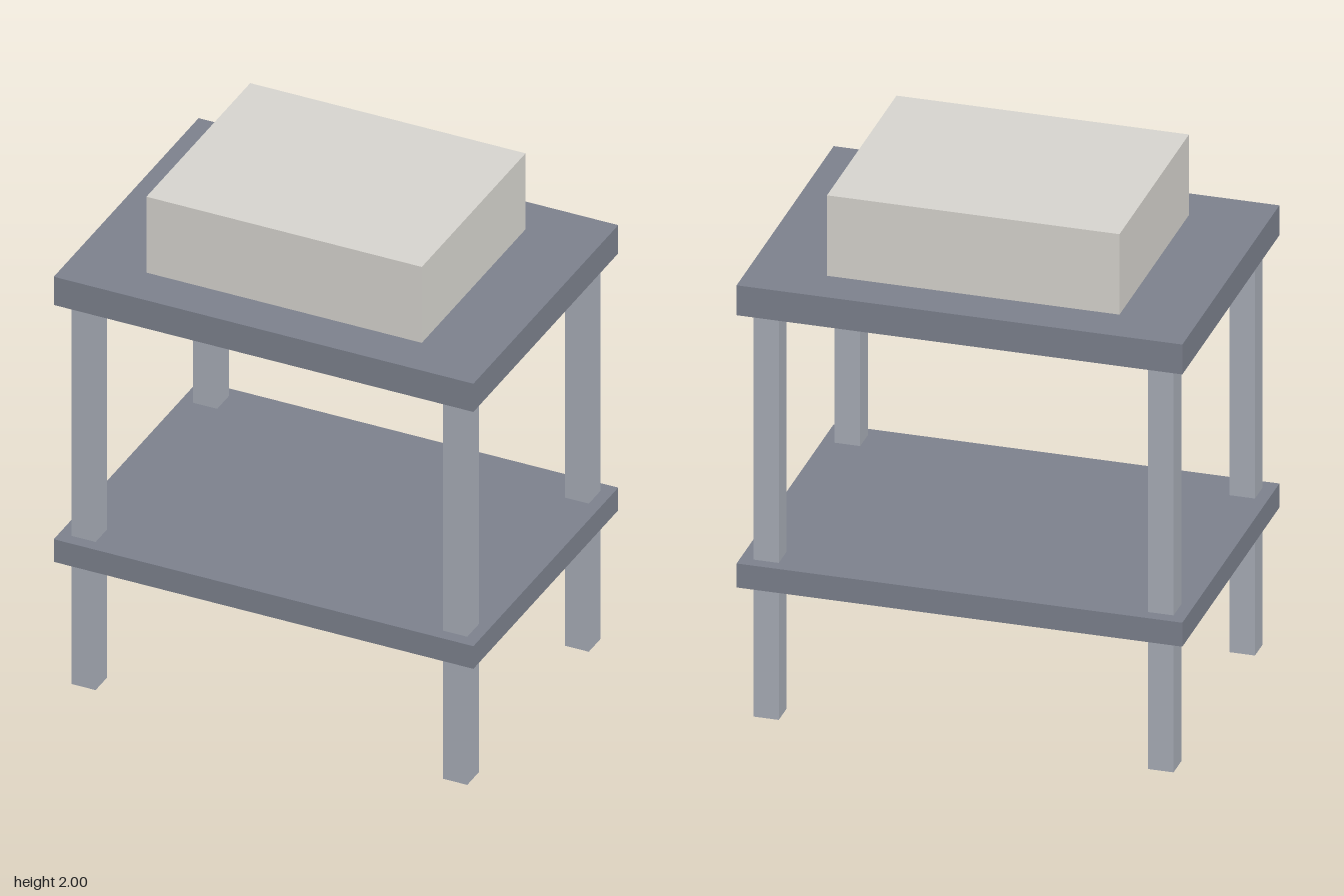
import * as THREE from 'three';

const boardMat = new THREE.MeshStandardMaterial({ color: 0x7d828e });
const legMat = new THREE.MeshStandardMaterial({ color: 0xa9aeb8 });
const boxMat = new THREE.MeshStandardMaterial({ color: 0xd8d6d0 });

// Box spanning y0..y1, centred on (x, z)
function block(name, mat, width, depth, y0, y1, x = 0, z = 0) {
  const mesh = new THREE.Mesh(new THREE.BoxGeometry(width, y1 - y0, depth), mat);
  mesh.name = name;
  mesh.position.set(x, (y0 + y1) / 2, z);
  return mesh;
}

export function createModel() {
  const group = new THREE.Group();
  group.name = 'sideTable';

  // Table top and lower shelf
  group.add(block('tableTop', boardMat, 1.626, 1.163, 1.572, 1.688));
  group.add(block('lowerShelf', boardMat, 1.626, 1.163, 0.516, 0.609));

  // Four square legs running through the shelf
  for (const [sideName, sx] of [['Left', 1], ['Right', -1]]) {
    for (const [endName, sz] of [['front', 1], ['back', -1]]) {
      group.add(block(`${endName}${sideName}Leg`, legMat, 0.093, 0.093, 0, 1.572, sx * 0.72, sz * 0.488));
    }
  }

  // Box resting on the table top
  group.add(block('topBox', boxMat, 1.067, 0.833, 1.688, 2));

  return group;
}
